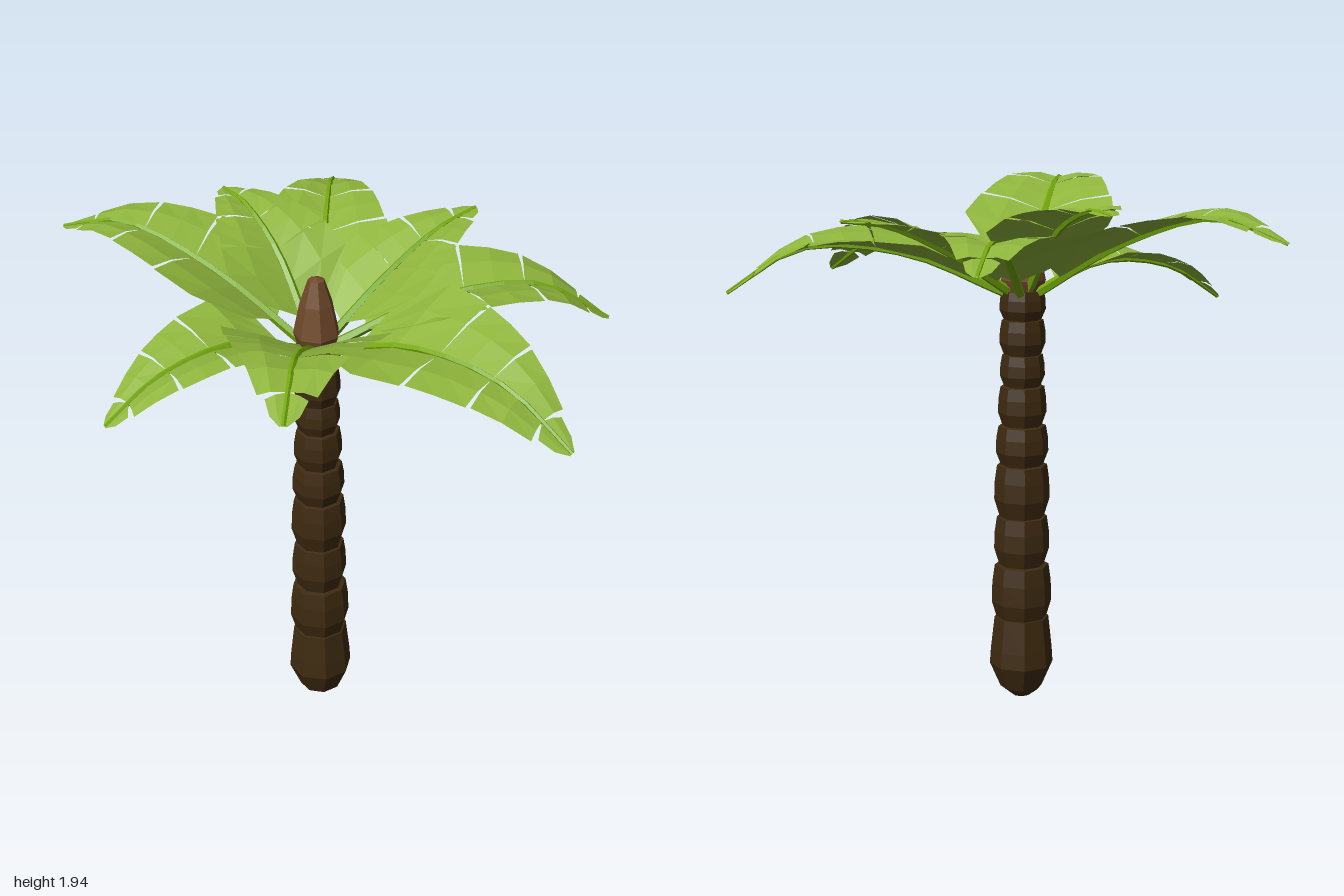
import * as THREE from 'three';

const mat = (color, side = THREE.FrontSide) =>
  new THREE.MeshStandardMaterial({ color, flatShading: true, side });
const trunkMat = mat(0x3e2a10);
const budMat = mat(0x70492a);
const ribMat = mat(0x74a80c);
const bladeMat = mat(0x8fb53c, THREE.DoubleSide);

const CX = -0.12, CZ = -0.02;

// Faceted turned shape around the trunk axis
function turned(name, points, material, sides = 8) {
  const profile = points.map(([r, y]) => new THREE.Vector2(r, y));
  const mesh = new THREE.Mesh(new THREE.LatheGeometry(profile, sides), material);
  mesh.name = name;
  mesh.position.set(CX, 0, CZ);
  return mesh;
}

// Trunk: stacked bulging rings, then a pointed bud
function makeTrunk() {
  const trunk = new THREE.Group();
  trunk.name = 'trunk';
  trunk.add(turned('trunkBase',
    [[0, 0], [0.035, 0.01], [0.08, 0.045], [0.121, 0.14], [0.117, 0.2], [0.103, 0.325], [0, 0.345]], trunkMat));
  const seams = [0.31, 0.53, 0.72, 0.92, 1.07, 1.22, 1.34, 1.47, 1.58];
  const radii = [0.114, 0.105, 0.105, 0.099, 0.091, 0.084, 0.086, 0.086];
  radii.forEach((r, i) => {
    const y = seams[i], h = seams[i + 1] - y;
    trunk.add(turned('trunkRing' + (i + 1),
      [[0, y], [r * 0.8, y], [r, y + h * 0.35], [r * 0.98, y + h * 0.7], [r * 0.9, y + h], [0, y + h + 0.02]], trunkMat));
  });
  trunk.add(turned('bud',
    [[0, 1.54], [0.06, 1.54], [0.085, 1.62], [0.06, 1.74], [0.03, 1.83], [0, 1.84]], budMat, 7));
  return trunk;
}

// Blade pieces: [rib start, rib end, widths along the outer edge]
const PIECES = [
  [0.13, 0.47, [0.16, 0.275, 0.245]],
  [0.47, 0.67, [0.235, 0.21, 0.18]],
  [0.67, 0.87, [0.17, 0.13, 0.09]],
  [0.87, 1, [0.065, 0.045, 0.012]],
];

// Tapered midrib
function makeRib(curve) {
  const geo = new THREE.TubeGeometry(curve, 10, 0.019, 5);
  const p = geo.attributes.position, uv = geo.attributes.uv;
  const v = new THREE.Vector3();
  for (let i = 0; i < p.count; i++) {
    const t = uv.getX(i);
    v.fromBufferAttribute(p, i).lerp(curve.getPointAt(t), 0.6 * t);
    p.setXYZ(i, v.x, v.y, v.z);
  }
  const rib = new THREE.Mesh(geo, ribMat);
  rib.name = 'rib';
  return rib;
}

// One half piece of blade: a strip rising from the rib to the outer edge
function makeBladePiece([t0, t1, widths], curve, side, size, roll) {
  const rows = widths.map((w, i) => {
    const t = THREE.MathUtils.lerp(t0, t1, i / 2);
    const inner = curve.getPointAt(t);
    const tangent = curve.getTangentAt(t);
    const across = new THREE.Vector3(-tangent.z, 0, tangent.x).normalize();
    // the edge sweeps forward and leaves a narrow slit between pieces
    const sweep = t === 1 ? 0 : 0.03 + 0.007 * (1 - i);
    const at = (f) => inner.clone()
      .addScaledVector(across, side * w * size * f)
      .addScaledVector(tangent, sweep * f)
      .add(new THREE.Vector3(0, w * size * ((0.38 + roll * side) * f - 0.38 * t * f * f), 0));
    return [inner, at(0.55), at(1)];
  });
  const verts = [];
  for (let i = 0; i < 2; i++) {
    for (let j = 0; j < 2; j++) {
      const a = rows[i][j], b = rows[i + 1][j], c = rows[i + 1][j + 1], d = rows[i][j + 1];
      // wound so that the upper side is the front
      const quad = side > 0 ? [a, d, c, a, c, b] : [a, c, d, a, b, c];
      quad.forEach((q) => verts.push(q.x, q.y, q.z));
    }
  }
  const geo = new THREE.BufferGeometry();
  geo.setAttribute('position', new THREE.Float32BufferAttribute(verts, 3));
  geo.computeVertexNormals();
  const mesh = new THREE.Mesh(geo, bladeMat);
  mesh.name = 'bladePiece';
  return mesh;
}

// Frond: tip x and z, rib heights at 40%, 75% and 100% of its reach, blade size, sideways roll
function makeFrond([x, z, yMid, yFar, yTip, size, roll = 0]) {
  const frond = new THREE.Group();
  frond.name = 'frond';
  const at = (s, y) => new THREE.Vector3(CX + (x - CX) * s, y, CZ + (z - CZ) * s);
  const curve = new THREE.CatmullRomCurve3(
    [at(0.04, 1.56), at(0.4, yMid), at(0.75, yFar), at(1, yTip)]);
  frond.add(makeRib(curve));
  for (const side of [1, -1]) {
    for (const piece of PIECES) frond.add(makeBladePiece(piece, curve, side, size, roll));
  }
  return frond;
}

export function createModel() {
  const model = new THREE.Group();
  model.name = 'palmTree';
  model.add(makeTrunk());
  const fronds = [
    [0.13, -1.0, 1.76, 1.84, 1.77, 0.94],
    [-0.95, -0.66, 1.78, 1.89, 1.82, 1.0],
    [-0.35, -0.66, 1.82, 1.92, 1.92, 0.88],
    [-0.91, 0.28, 1.67, 1.63, 1.5, 0.87],
    [-0.41, 0.99, 1.78, 1.92, 1.86, 1.05],
    [0.57, 0.84, 1.71, 1.7, 1.55, 1.0, -0.22],
    [0.96, 0.0, 1.72, 1.74, 1.58, 1.06],
    [0.55, -0.39, 1.73, 1.85, 1.88, 0.87],
  ];
  fronds.forEach((f) => model.add(makeFrond(f)));
  return model;
}
